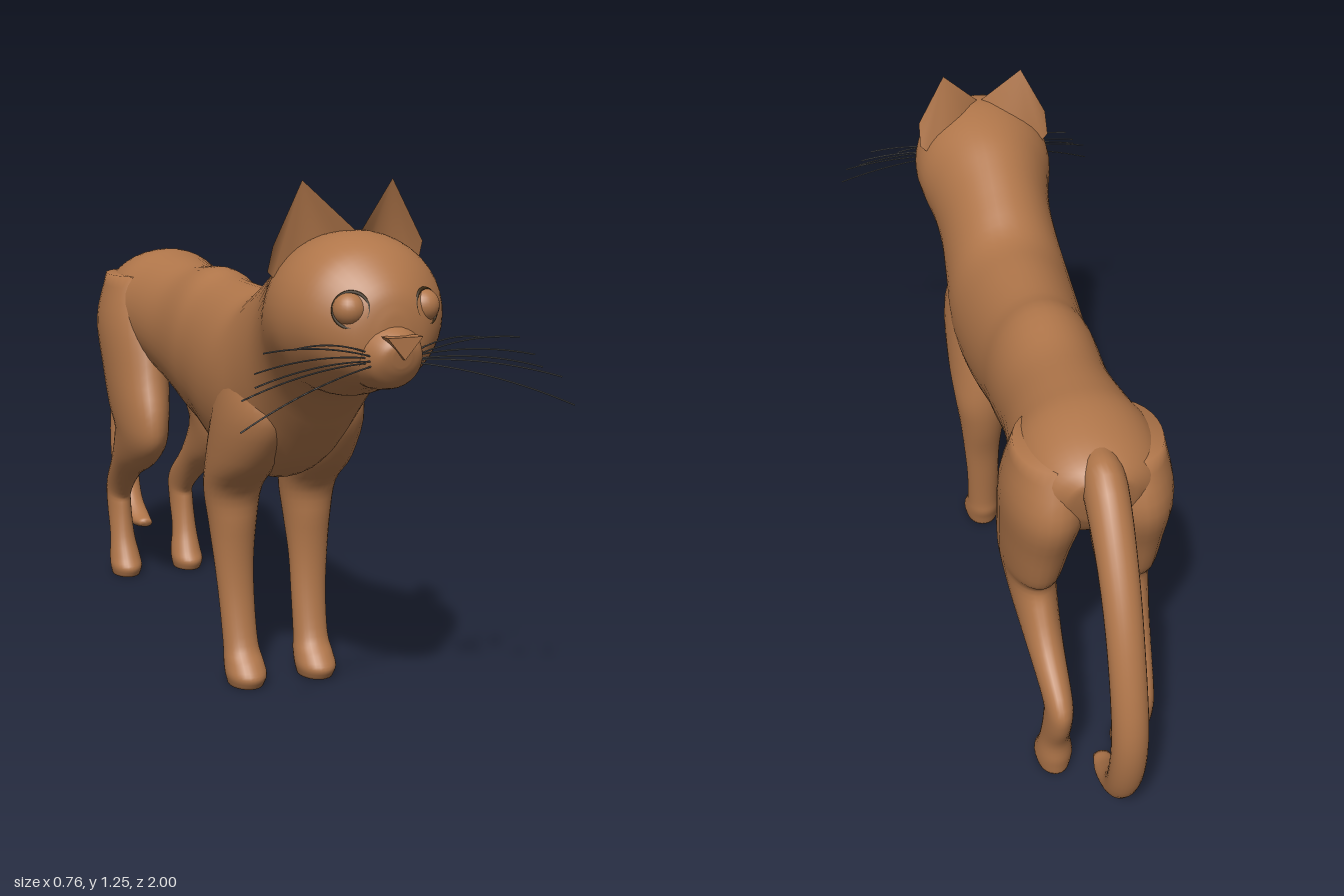
import * as THREE from 'three';

const fur = new THREE.MeshStandardMaterial({ color: 0xb0764a, side: THREE.DoubleSide });
fur.name = 'fur';
const dark = new THREE.MeshStandardMaterial({ color: 0x3a2a14 });
dark.name = 'eyeRim';
const grey = new THREE.MeshStandardMaterial({ color: 0x5c5c5c });
grey.name = 'whiskerGrey';

// Smooth closed skin through oval rings [zA, yA, zB, yB, halfWidth, xCentre]
function loft(rings, side = 1, around = 28, steps = 4) {
  const curve = (f) => new THREE.CatmullRomCurve3(rings.map(f), false, 'catmullrom', 0.5);
  const a = curve((r) => new THREE.Vector3(0, r[1], r[0]));
  const b = curve((r) => new THREE.Vector3(0, r[3], r[2]));
  const w = curve((r) => new THREE.Vector3(r[4], (r[5] || 0) * side, 0));
  const n = (rings.length - 1) * steps;
  const pos = [], idx = [];
  for (let i = 0; i <= n; i++) {
    const A = a.getPoint(i / n), B = b.getPoint(i / n), W = w.getPoint(i / n);
    for (let j = 0; j < around; j++) {
      const t = (j / around) * Math.PI * 2, c = Math.cos(t) / 2;
      pos.push(W.y + W.x * Math.sin(t),
        (A.y + B.y) / 2 + (A.y - B.y) * c, (A.z + B.z) / 2 + (A.z - B.z) * c);
      if (i < n) {
        const p = i * around + j, q = i * around + (j + 1) % around;
        idx.push(p, q, p + around, q, q + around, p + around);
      }
    }
  }
  // End caps
  for (const [i, t] of [[0, 0], [n, 1]]) {
    const A = a.getPoint(t), B = b.getPoint(t), c = pos.length / 3;
    pos.push(w.getPoint(t).y, (A.y + B.y) / 2, (A.z + B.z) / 2);
    for (let j = 0; j < around; j++) {
      const p = i * around + j, q = i * around + (j + 1) % around;
      idx.push(...(t ? [c, p, q] : [c, q, p]));
    }
  }
  // Turn the skin outwards if its signed volume is negative
  let volume = 0;
  const v = (k) => new THREE.Vector3().fromArray(pos, idx[k] * 3);
  for (let k = 0; k < idx.length; k += 3) volume += v(k).dot(v(k + 1).cross(v(k + 2)));
  if (volume < 0) idx.reverse();
  const g = new THREE.BufferGeometry();
  g.setAttribute('position', new THREE.Float32BufferAttribute(pos, 3));
  g.setIndex(idx);
  g.computeVertexNormals();
  return g;
}

// Curved sheet from a base line to a tip
function earGeometry(side) {
  const base = new THREE.CatmullRomCurve3([
    [0, 1.145, 0.735], [0.045, 1.1, 0.675], [0.1, 1.06, 0.65], [0.165, 1.05, 0.655],
  ].map((p) => new THREE.Vector3(...p)));
  const pts = [...base.getPoints(14), new THREE.Vector3(0.18, 1.063, 0.66), new THREE.Vector3(0.178, 1.12, 0.685)];
  const pos = [side * 0.107, 1.257, 0.675], idx = [];
  pts.forEach((p, i) => {
    pos.push(p.x * side, p.y, p.z);
    if (i) idx.push(...(side > 0 ? [0, i, i + 1] : [0, i + 1, i]));
  });
  const g = new THREE.BufferGeometry();
  g.setAttribute('position', new THREE.Float32BufferAttribute(pos, 3));
  g.setIndex(idx);
  g.computeVertexNormals();
  return g;
}

// Head, neck and trunk in one skin, front to back
const bodyRings = [
  [0.91, 0.99, 0.91, 0.9, 0.03], [0.895, 1.045, 0.89, 0.855, 0.085], [0.85, 1.1, 0.85, 0.835, 0.135],
  [0.8, 1.135, 0.8, 0.82, 0.168], [0.73, 1.152, 0.73, 0.795, 0.187], [0.65, 1.145, 0.66, 0.785, 0.185],
  [0.56, 1.12, 0.6, 0.73, 0.165], [0.47, 1.075, 0.54, 0.66, 0.155], [0.37, 1.02, 0.45, 0.575, 0.16],
  [0.27, 0.97, 0.33, 0.52, 0.168], [0.15, 0.967, 0.17, 0.515, 0.16], [0, 0.972, 0, 0.555, 0.145],
  [-0.1, 0.99, -0.1, 0.575, 0.143], [-0.25, 0.975, -0.25, 0.62, 0.14], [-0.4, 0.99, -0.4, 0.66, 0.155],
  [-0.5, 1, -0.5, 0.68, 0.172], [-0.6, 0.985, -0.58, 0.7, 0.165], [-0.67, 0.96, -0.64, 0.74, 0.13],
  [-0.71, 0.93, -0.68, 0.8, 0.07],
];
const muzzleRings = [
  [0.86, 0.99, 0.85, 0.83, 0.085], [0.9, 0.975, 0.88, 0.835, 0.072], [0.93, 0.96, 0.91, 0.845, 0.058],
  [0.945, 0.945, 0.93, 0.87, 0.042], [0.95, 0.935, 0.94, 0.89, 0.02],
];
const tailRings = [
  [-0.6, 0.97, -0.62, 0.85, 0.05], [-0.72, 0.962, -0.69, 0.83, 0.05], [-0.85, 0.81, -0.79, 0.745, 0.045],
  [-0.94, 0.64, -0.875, 0.59, 0.042], [-0.995, 0.44, -0.915, 0.4, 0.042, -0.003],
  [-0.982, 0.28, -0.895, 0.26, 0.042, -0.005], [-0.92, 0.145, -0.855, 0.19, 0.038, -0.005],
  [-0.82, 0.1, -0.8, 0.145, 0.033, 0], [-0.76, 0.105, -0.755, 0.13, 0.02, 0.005],
];
const frontLegRings = [
  [0.43, 0.85, 0.23, 0.85, 0.06, 0.08], [0.52, 0.72, 0.2, 0.7, 0.085, 0.088], [0.44, 0.58, 0.18, 0.58, 0.08, 0.098],
  [0.33, 0.49, 0.175, 0.49, 0.072, 0.1], [0.312, 0.4, 0.19, 0.4, 0.06, 0.1], [0.305, 0.3, 0.218, 0.3, 0.05, 0.1],
  [0.313, 0.2, 0.235, 0.2, 0.045, 0.097], [0.337, 0.1, 0.25, 0.1, 0.044, 0.095], [0.37, 0.06, 0.252, 0.06, 0.048, 0.094],
  [0.392, 0.03, 0.262, 0.03, 0.05, 0.094], [0.38, 0.003, 0.27, 0.003, 0.043, 0.094],
];
const hindLegRings = [
  [-0.42, 0.93, -0.66, 0.93, 0.085, 0.085], [-0.36, 0.8, -0.7, 0.8, 0.098, 0.1], [-0.32, 0.66, -0.655, 0.67, 0.085, 0.11],
  [-0.28, 0.55, -0.615, 0.56, 0.073, 0.115], [-0.29, 0.465, -0.575, 0.51, 0.064, 0.115],
  [-0.38, 0.395, -0.6, 0.45, 0.055, 0.113], [-0.53, 0.33, -0.655, 0.375, 0.044, 0.108],
  [-0.635, 0.25, -0.755, 0.285, 0.035, 0.1], [-0.645, 0.21, -0.755, 0.21, 0.034, 0.1],
  [-0.628, 0.12, -0.715, 0.12, 0.036, 0.1], [-0.6, 0.06, -0.71, 0.06, 0.044, 0.098],
  [-0.58, 0.03, -0.705, 0.03, 0.046, 0.098], [-0.59, 0.003, -0.7, 0.003, 0.04, 0.098],
];
const whiskerEnds = [
  [0.377, 0.797, 1.0], [0.363, 0.853, 0.97], [0.327, 0.873, 0.95],
  [0.32, 0.897, 0.93], [0.293, 0.933, 0.91], [0.217, 0.933, 0.89],
];

export function createModel() {
  const model = new THREE.Group();
  model.name = 'cat';
  const add = (name, geometry, material = fur) => {
    const mesh = new THREE.Mesh(geometry, material);
    mesh.name = name;
    model.add(mesh);
    return mesh;
  };

  add('body', loft(bodyRings, 1, 40));
  add('muzzle', loft(muzzleRings));
  add('tail', loft(tailRings));

  // Triangular nose
  const noseShape = new THREE.Shape([[-0.04, 0.955], [0, 0.908], [0.04, 0.955]].map((p) => new THREE.Vector2(...p)));
  add('nose', new THREE.ExtrudeGeometry(noseShape, { depth: 0.03, bevelEnabled: false })).position.z = 0.925;

  for (const side of [1, -1]) {
    const label = side > 0 ? 'left' : 'right';
    add(label + 'FrontLeg', loft(frontLegRings, side));
    add(label + 'HindLeg', loft(hindLegRings, side));
    add(label + 'Ear', earGeometry(side));

    // Eyeball in a thin dark rim
    add(label + 'Eye', new THREE.SphereGeometry(0.036, 24, 16)).position.set(side * 0.085, 1.005, 0.864);
    const rim = add(label + 'EyeRim', new THREE.TorusGeometry(0.037, 0.004, 8, 32), dark);
    rim.position.set(side * 0.086, 1.005, 0.878);
    rim.rotation.set(-0.2, side * 0.5, 0, 'YXZ');

    // Whiskers droop from the muzzle
    whiskerEnds.forEach(([x, y, z], i) => {
      const start = new THREE.Vector3(side * 0.055, 0.893 + i * 0.005, 0.915 - (i % 2) * 0.012);
      const end = new THREE.Vector3(side * x, y, z);
      const mid = start.clone().lerp(end, 0.5);
      mid.y += 0.025;
      add(label + 'Whisker' + (i + 1),
        new THREE.TubeGeometry(new THREE.QuadraticBezierCurve3(start, mid, end), 12, 0.0018, 5), grey);
    });
  }
  return model;
}
